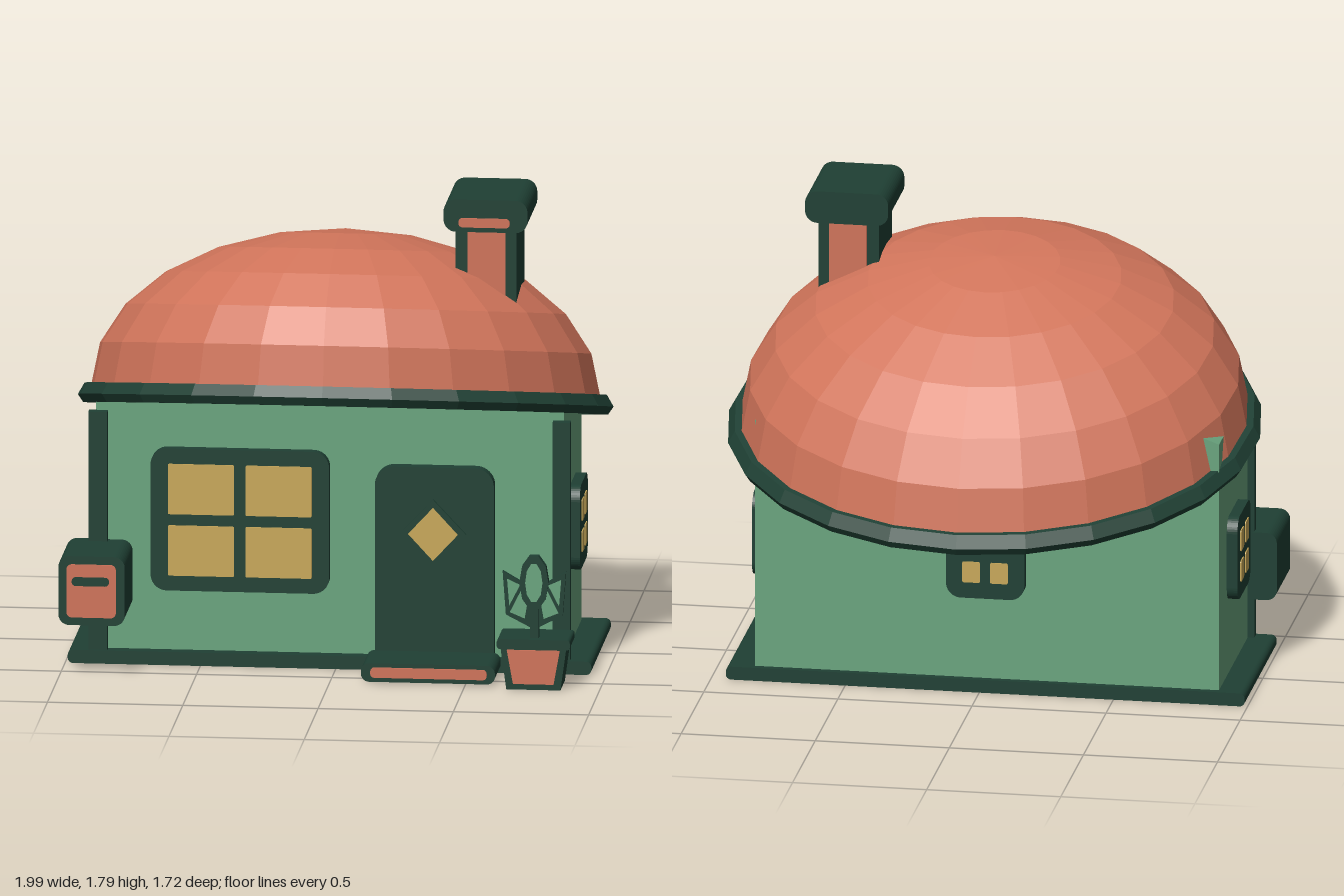
import * as THREE from 'three';

const mat = (name, color) => {
  const m = new THREE.MeshStandardMaterial({ color, side: THREE.DoubleSide });
  m.name = name;
  return m;
};

export function createModel() {
  const terracotta = mat('terracotta', 0xd0745a);
  const green = mat('wallGreen', 0x6aa57f);
  const dark = mat('darkGreen', 0x1f4034);
  const gold = mat('windowGold', 0xc9a95a);
  const house = new THREE.Group();
  house.name = 'cottage';

  const add = (parent, name, geometry, material) => {
    const mesh = new THREE.Mesh(geometry, material);
    mesh.name = name;
    parent.add(mesh);
    return mesh;
  };
  const group = (name, parent = house) => {
    const g = new THREE.Group();
    g.name = name;
    parent.add(g);
    return g;
  };
  // Rounded rectangle from its left, right, bottom and top edges
  const rect = (x0, x1, y0, y1, r = 0) => {
    const s = new THREE.Shape();
    if (!r) return poly([[x0, y0], [x1, y0], [x1, y1], [x0, y1]]);
    s.moveTo(x0 + r, y0);
    s.lineTo(x1 - r, y0).absarc(x1 - r, y0 + r, r, -Math.PI / 2, 0);
    s.lineTo(x1, y1 - r).absarc(x1 - r, y1 - r, r, 0, Math.PI / 2);
    s.lineTo(x0 + r, y1).absarc(x0 + r, y1 - r, r, Math.PI / 2, Math.PI);
    s.lineTo(x0, y0 + r).absarc(x0 + r, y0 + r, r, Math.PI, Math.PI * 1.5);
    return s;
  };
  const poly = (pts) => new THREE.Shape(pts.map(([x, y]) => new THREE.Vector2(x, y)));
  const oval = (x, y, rx, ry) => new THREE.Shape().absellipse(x, y, rx, ry, 0, Math.PI * 2);
  // Shape in the front plane, filling z0 to z1
  const slab = (parent, name, shape, z0, z1, material) => {
    const g = new THREE.ExtrudeGeometry(shape, { depth: z1 - z0, bevelEnabled: false, curveSegments: 5 });
    return add(parent, name, g.translate(0, 0, z0), material);
  };

  // Base and walls; the wall top arches up inside the roof
  slab(house, 'base', rect(-0.99, 0.945, 0, 0.05, 0.02), -0.34, 0.365, dark);
  const wall = new THREE.Shape();
  wall.moveTo(-0.89, 0.01);
  wall.lineTo(0.84, 0.01);
  wall.lineTo(0.84, 1.0);
  wall.quadraticCurveTo(-0.025, 1.4, -0.89, 1.0);
  slab(house, 'walls', wall, -0.315, 0.32, green);
  slab(house, 'leftCornerPost', rect(0.8, 0.865, 0.04, 0.948), 0.315, 0.355, dark);
  slab(house, 'rightCornerPost', rect(-0.915, -0.845, 0.04, 0.948), 0.315, 0.355, dark);

  // Roof dome and rim, sheared so that the front rides higher
  const shear = (g, y) => {
    const flat = g.toNonIndexed();
    const p = flat.attributes.position;
    for (let i = 0; i < p.count; i++) p.setY(i, p.getY(i) + y + 0.244 * p.getZ(i));
    flat.computeVertexNormals();
    return flat;
  };
  const dome = new THREE.SphereGeometry(1, 24, 6, 0, Math.PI * 2, 0, Math.PI / 2);
  add(house, 'roofDome', shear(dome.scale(0.94, 0.61, 0.82), 0.97), terracotta);
  const rimProfile = [[0.93, -0.07], [0.98, -0.07], [1, -0.04], [0.975, 0.004], [0.93, 0.004], [0.93, -0.07]];
  const rim = new THREE.LatheGeometry(rimProfile.map(([r, y]) => new THREE.Vector2(r, y)), 24);
  add(house, 'roofRim', shear(rim.scale(0.99, 1, 0.858), 0.97), dark);

  // Four-pane window centred on its own origin, facing +z
  const makeWindow = (name, w, h, r, paneW, paneH, bar, depth) => {
    const g = group(name);
    slab(g, 'frame', rect(-w, w, -h, h, r), 0, depth, dark);
    for (const sx of [-1, 1]) for (const sy of [-1, 1]) {
      const cx = sx * (bar + paneW / 2), cy = sy * (bar + paneH / 2);
      slab(g, 'pane', rect(cx - paneW / 2, cx + paneW / 2, cy - paneH / 2, cy + paneH / 2, 0.006),
        depth - 0.002, depth + 0.004, gold);
    }
    return g;
  };
  makeWindow('frontWindow', 0.33, 0.268, 0.06, 0.245, 0.19, 0.021, 0.04).position.set(-0.355, 0.548, 0.315);
  const small = (name, x, y, z, turn) => {
    const g = makeWindow(name, 0.146, 0.16, 0.055, 0.066, 0.08, 0.019, 0.045);
    g.position.set(x, y, z);
    g.rotation.y = turn;
  };
  small('leftWindow', 0.835, 0.495, 0, Math.PI / 2);
  small('rightWindow', -0.885, 0.495, 0, -Math.PI / 2);
  small('backWindow', -0.025, 0.53, -0.312, Math.PI);

  // Door with a raised diamond light, and its step
  const door = group('door');
  const panel = new THREE.Shape();
  panel.moveTo(0.145, 0.04);
  panel.lineTo(0.585, 0.04);
  panel.lineTo(0.585, 0.7).absarc(0.515, 0.7, 0.07, 0, Math.PI / 2);
  panel.lineTo(0.215, 0.77).absarc(0.215, 0.7, 0.07, Math.PI / 2, Math.PI);
  slab(door, 'doorPanel', panel, 0.315, 0.365, dark);
  const diamond = (rx, ry) => poly([[0.365 - rx, 0.53], [0.365, 0.53 - ry], [0.365 + rx, 0.53], [0.365, 0.53 + ry]]);
  slab(door, 'diamondMount', diamond(0.04, 0.04), 0.36, 0.405, dark);
  slab(door, 'diamondFrame', diamond(0.122, 0.13), 0.403, 0.416, dark);
  slab(door, 'diamondPane', diamond(0.092, 0.1), 0.414, 0.42, gold);
  slab(door, 'doorStep', rect(0.115, 0.61, 0.005, 0.075, 0.03), 0.36, 0.575, dark);
  slab(door, 'stepStripe', rect(0.15, 0.58, 0.022, 0.06, 0.015), 0.573, 0.582, terracotta);

  // Mailbox
  const mailbox = group('mailbox');
  slab(mailbox, 'mailboxBody', rect(-1, -0.755, 0.2, 0.46, 0.04), 0.31, 0.605, dark);
  slab(mailbox, 'mailboxFront', rect(-0.97, -0.787, 0.23, 0.43, 0.02), 0.603, 0.611, terracotta);
  slab(mailbox, 'mailSlot', rect(-0.95, -0.812, 0.35, 0.383, 0.015), 0.609, 0.615, dark);

  // Chimney with panels front and back and a rounded cap
  const chimney = group('chimney');
  slab(chimney, 'shaft', rect(0.44, 0.665, 1.2, 1.68), 0.05, 0.34, dark);
  slab(chimney, 'frontPanel', rect(0.485, 0.625, 1.2, 1.665), 0.338, 0.345, terracotta);
  slab(chimney, 'backPanel', rect(0.485, 0.625, 1.2, 1.665), 0.045, 0.052, terracotta);
  slab(chimney, 'cap', rect(0.4, 0.71, 1.665, 1.787, 0.045), 0.02, 0.375, dark);
  slab(chimney, 'capStripe', rect(0.455, 0.645, 1.683, 1.718, 0.016), 0.373, 0.38, terracotta);

  // Plant pot, tapered downwards, with an inset-coloured face
  const plant = group('pottedPlant');
  const pot = (top, bottom, y0, y1) => poly([[0.757 - bottom, y0], [0.757 + bottom, y0], [0.757 + top, y1], [0.757 - top, y1]]);
  slab(plant, 'pot', pot(0.122, 0.1, 0, 0.16), 0.46, 0.622, dark);
  slab(plant, 'potFace', pot(0.098, 0.075, 0.022, 0.15), 0.62, 0.628, terracotta);
  slab(plant, 'potRim', rect(0.622, 0.892, 0.152, 0.19, 0.012), 0.452, 0.626, dark);

  // Stem and outlined leaves
  slab(plant, 'stem', rect(0.742, 0.774, 0.18, 0.34), 0.573, 0.597, dark);
  slab(plant, 'middleLeaf', oval(0.757, 0.4, 0.054, 0.105), 0.573, 0.603, dark);
  slab(plant, 'middleLeafFace', oval(0.757, 0.4, 0.032, 0.075), 0.601, 0.607, green);
  for (const s of [-1, 1]) {
    const side = (pts) => poly(pts.map(([x, y]) => [0.757 + s * x, y]));
    slab(plant, 'sideLeaf', side([[0.008, 0.225], [0.105, 0.275], [0.117, 0.44], [0.04, 0.395], [0.008, 0.33]]), 0.575, 0.59, dark);
    slab(plant, 'sideLeafFace', side([[0.035, 0.262], [0.09, 0.285], [0.045, 0.375], [0.025, 0.32]]), 0.588, 0.594, green);
    slab(plant, 'sideLeafTip', side([[0.092, 0.31], [0.1, 0.41], [0.052, 0.388]]), 0.588, 0.594, green);
  }
  return house;
}
